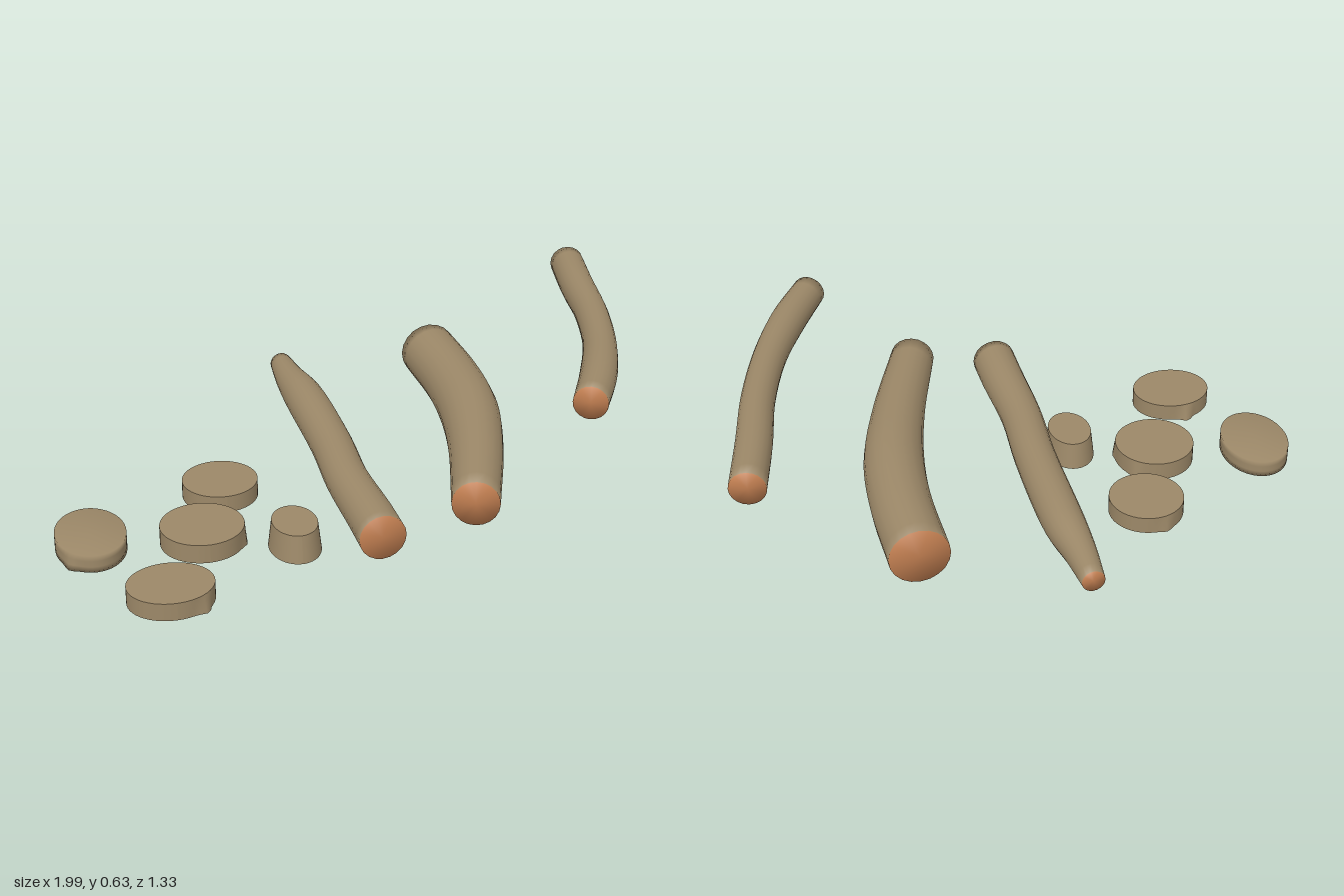
import * as THREE from 'three';
import { mergeVertices } from 'three/addons/utils/BufferGeometryUtils.js';

const bark = new THREE.MeshStandardMaterial({ color: 0x9c8868 });
bark.name = 'bark brown';
const cutWood = new THREE.MeshStandardMaterial({ color: 0xbf7d50 });
cutWood.name = 'cut wood orange';

// Log lying at a fixed height; each section is [x, z, radius] from front to back
function makeLog(name, height, sections) {
  const sides = 20, steps = 24;
  const curve = new THREE.CatmullRomCurve3(sections.map(([x, z, r]) => new THREE.Vector3(x, r, z)));
  const pos = [], sideFaces = [], capFaces = [];
  for (let i = 0; i <= steps; i++) {
    const p = curve.getPoint(i / steps);
    const t = curve.getTangent(i / steps).setY(0).normalize();
    for (let j = 0; j < sides; j++) {
      const a = (j / sides) * Math.PI * 2, c = Math.cos(a) * p.y;
      // sideways direction is tangent x up
      pos.push(p.x - t.z * c, height + Math.sin(a) * p.y, p.z + t.x * c);
    }
  }
  const first = sections[0], last = sections[sections.length - 1];
  const frontCentre = pos.length / 3, backCentre = frontCentre + 1;
  pos.push(first[0], height, first[1], last[0], height, last[1]);
  for (let j = 0; j < sides; j++) {
    const k = (j + 1) % sides, end = steps * sides;
    for (let i = 0; i < steps; i++) {
      const a = i * sides, b = a + sides;
      sideFaces.push(a + j, b + j, a + k, a + k, b + j, b + k);
    }
    capFaces.push(frontCentre, j, k, backCentre, end + k, end + j);
  }
  const geo = new THREE.BufferGeometry();
  geo.setAttribute('position', new THREE.Float32BufferAttribute(pos, 3));
  geo.setIndex([...sideFaces, ...capFaces]);
  geo.addGroup(0, sideFaces.length, 0);
  geo.addGroup(sideFaces.length, capFaces.length, 1);
  geo.computeVertexNormals();
  const mesh = new THREE.Mesh(geo, [bark, cutWood]);
  mesh.name = name;
  return mesh;
}

// Cut slice of trunk; flares are [angle in x-z, amount] pushed out near the foot
function makeSlice({ name, x, z, rx, rz, h, top = 1, flares = [], soft = false }) {
  let geo = new THREE.CylinderGeometry(top, 1, h, 48, 3);
  const p = geo.attributes.position;
  for (let i = 0; i < p.count; i++) {
    const ux = p.getX(i) * rx, uz = p.getZ(i) * rz;
    const len = Math.hypot(ux, uz), a = Math.atan2(uz, ux);
    const foot = 0.5 - p.getY(i) / h;
    let grow = 0;
    for (const [angle, amount] of flares) {
      const d = Math.atan2(Math.sin(a - angle), Math.cos(a - angle));
      grow += amount * foot * Math.exp(-((d / 0.16) ** 2));
    }
    const s = len > 0.001 ? 1 + grow / len : 1;
    p.setXYZ(i, ux * s, p.getY(i) + h / 2, uz * s);
  }
  if (soft) {
    // shared vertices give the worn slice rounded shading
    geo.deleteAttribute('uv');
    geo.deleteAttribute('normal');
    geo = mergeVertices(geo);
  }
  geo.clearGroups();
  geo.computeVertexNormals();
  const mesh = new THREE.Mesh(geo, bark);
  mesh.name = name;
  mesh.position.set(x, 0, z);
  return mesh;
}

export function createModel() {
  const model = new THREE.Group();
  model.name = 'logsAndStumps';

  // Three floating logs
  model.add(
    makeLog('straightLog', 0.2, [
      [-0.053, 0.63, 0.075], [-0.055, 0.5, 0.074], [-0.064, 0.25, 0.07], [-0.052, 0, 0.07],
      [-0.056, -0.38, 0.068], [-0.067, -0.53, 0.053], [-0.07, -0.675, 0.038],
    ]),
    makeLog('thickLog', 0.265, [
      [0.248, 0.613, 0.076], [0.365, 0.26, 0.09], [0.427, 0, 0.1],
      [0.447, -0.24, 0.1], [0.44, -0.51, 0.099],
    ]),
    makeLog('slimLog', 0.575, [
      [0.597, 0.632, 0.055], [0.695, 0.45, 0.059], [0.783, 0.24, 0.055], [0.85, 0, 0.055],
      [0.892, -0.24, 0.058], [0.937, -0.459, 0.058],
    ]),
  );

  // Slices and stump on the ground
  const slices = [
    { name: 'wornSlice', x: -0.885, z: 0.125, rx: 0.115, rz: 0.155, h: 0.06, soft: true, flares: [[2.2, 0.012]] },
    { name: 'backSlice', x: -0.413, z: -0.117, rx: 0.128, rz: 0.128, h: 0.06, flares: [[-1.85, 0.01]] },
    { name: 'middleSlice', x: -0.53, z: 0.176, rx: 0.138, rz: 0.138, h: 0.065, flares: [[0.35, 0.01], [-0.8, 0.01]] },
    { name: 'frontSlice', x: -0.69, z: 0.497, rx: 0.138, rz: 0.12, h: 0.06, flares: [[-1.77, 0.02], [0.8, 0.015]] },
    { name: 'stump', x: -0.248, z: 0.283, rx: 0.085, rz: 0.115, h: 0.095, top: 0.87 },
  ];
  slices.forEach((s) => model.add(makeSlice(s)));
  return model;
}
